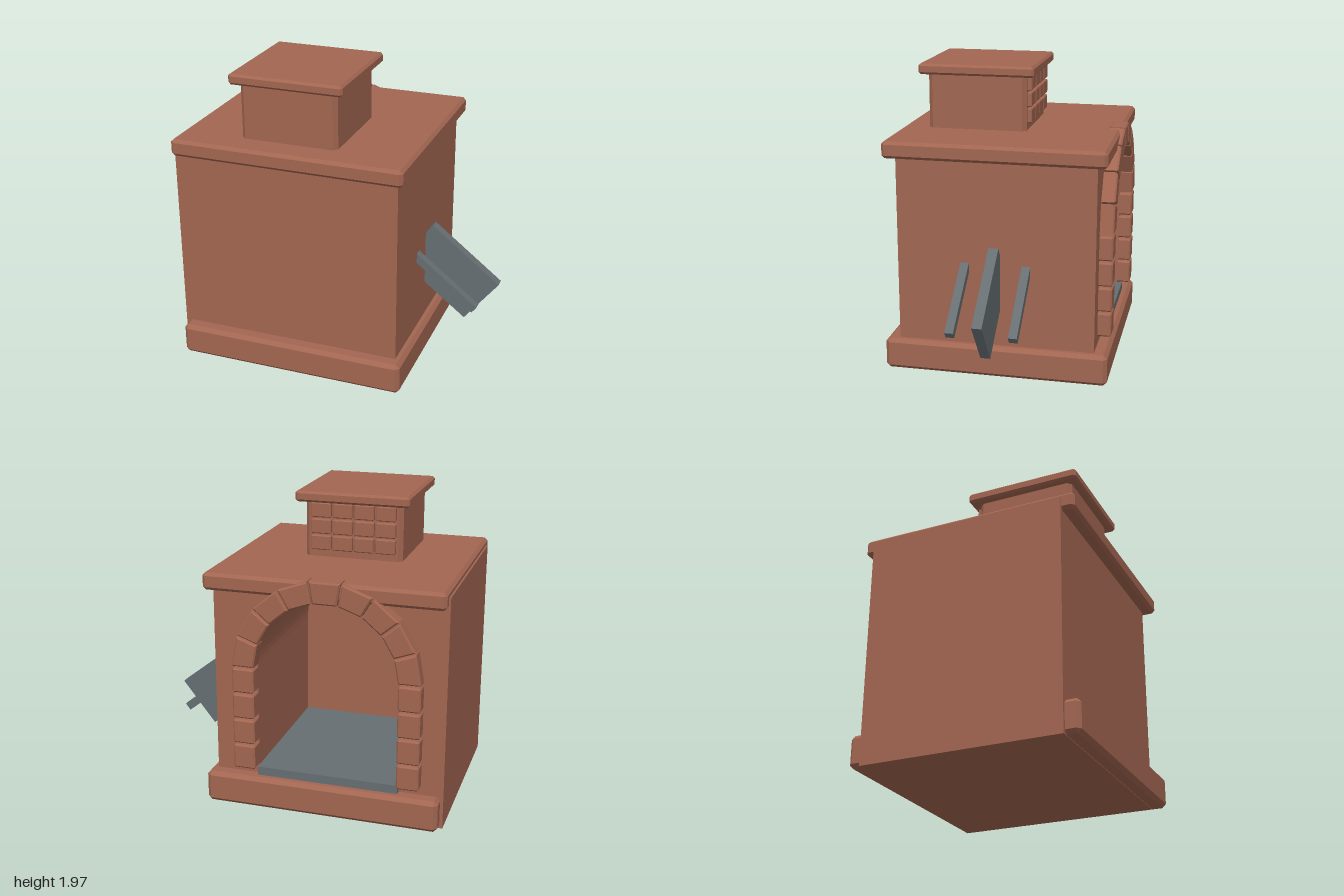
import * as THREE from 'three';
import { ConvexGeometry } from 'three/addons/geometries/ConvexGeometry.js';

const brick = new THREE.MeshStandardMaterial({ color: 0xa26651, flatShading: true });
brick.name = 'brick red';
const steel = new THREE.MeshStandardMaterial({ color: 0x666e72, flatShading: true });
steel.name = 'steel grey';

const CX = -0.255;      // centre line of the oven
const SPRING = 0.955;   // height where the arch starts
const R_IN = 0.46, R_OUT = 0.602;

// Box between two corners with every edge chamfered by c
function chamferBox([x0, y0, z0], [x1, y1, z1], c) {
  const centre = new THREE.Vector3((x0 + x1) / 2, (y0 + y1) / 2, (z0 + z1) / 2);
  const half = new THREE.Vector3((x1 - x0) / 2, (y1 - y0) / 2, (z1 - z0) / 2);
  const points = [];
  for (const sx of [-1, 1]) for (const sy of [-1, 1]) for (const sz of [-1, 1]) {
    for (const axis of ['x', 'y', 'z']) {
      const p = half.clone().subScalar(c);
      p[axis] += c;
      points.push(p.multiply(new THREE.Vector3(sx, sy, sz)).add(centre));
    }
  }
  return new ConvexGeometry(points);
}

function plainBox([x0, y0, z0], [x1, y1, z1]) {
  return new THREE.BoxGeometry(x1 - x0, y1 - y0, z1 - z0)
    .translate((x0 + x1) / 2, (y0 + y1) / 2, (z0 + z1) / 2);
}

// One wedge of the arch, centred on angle a, with chamfered edges
function wedge(a, halfAngle, gap) {
  const bevel = 0.01;
  const h = halfAngle - gap;
  const corner = (r, t) => new THREE.Vector2(CX + r * Math.cos(t), SPRING + r * Math.sin(t));
  const shape = new THREE.Shape([
    corner(R_IN, a - h), corner(R_OUT, a - h), corner(R_OUT, a + h), corner(R_IN, a + h),
  ]);
  const geometry = new THREE.ExtrudeGeometry(shape, {
    depth: 0.09, bevelEnabled: true, bevelSegments: 1,
    bevelSize: bevel, bevelOffset: -bevel, bevelThickness: bevel,
  });
  return geometry.translate(0, 0, -0.725);
}

export function createModel() {
  const model = new THREE.Group();
  model.name = 'brickOven';
  const add = (name, geometry, material = brick, parent = model) => {
    const mesh = new THREE.Mesh(geometry, material);
    mesh.name = name;
    parent.add(mesh);
    return mesh;
  };
  const addGroup = (name) => {
    const group = new THREE.Group();
    group.name = name;
    model.add(group);
    return group;
  };

  // Body with a vaulted chamber open at the back
  const wall = new THREE.Shape();
  wall.moveTo(-1, 0);
  wall.lineTo(0.49, 0);
  wall.lineTo(0.49, 1.5);
  wall.lineTo(-1, 1.5);
  wall.closePath();
  const opening = new THREE.Path();
  opening.moveTo(CX - R_IN, 0.21);
  opening.lineTo(CX + R_IN, 0.21);
  opening.lineTo(CX + R_IN, SPRING);
  opening.absarc(CX, SPRING, R_IN, 0, Math.PI, false);
  opening.closePath();
  wall.holes.push(opening);
  add('chamberWalls', new THREE.ExtrudeGeometry(wall, { depth: 1.01, bevelEnabled: false, curveSegments: 18 })
    .translate(0, 0, -0.645));
  add('frontWall', plainBox([-1, 0, 0.365], [0.49, 1.5, 0.645]));

  // Base and top slab
  add('base', chamferBox([-0.98, 0.004, -0.735], [0.54, 0.212, 0.735], 0.025));
  add('topSlab', chamferBox([-0.988, 1.43, -0.71], [0.54, 1.541, 0.725], 0.02));

  // Chamber floor
  add('chamberFloor', plainBox([CX - R_IN, 0.2, -0.68], [CX + R_IN, 0.268, 0.37]), steel);

  // Chimney with its cap and a panel of bricks on the back
  add('chimney', chamferBox([-0.578, 1.5, -0.11], [0.062, 1.93, 0.545], 0.027));
  add('chimneyCap', chamferBox([-0.63, 1.9, -0.168], [0.115, 1.97, 0.597], 0.015));
  const panel = addGroup('chimneyBricks');
  for (let row = 0; row < 3; row++) {
    for (let col = 0; col < 4; col++) {
      const x = -0.538 + col * 0.141, y = 1.59 + row * 0.106;
      add('chimneyBrick', chamferBox([x, y, -0.14], [x + 0.13, y + 0.094, -0.1], 0.006), brick, panel);
    }
  }

  // Arch surround: nine wedges on two piers of four blocks
  const arch = addGroup('archSurround');
  const step = Math.PI / 9;
  for (let i = 0; i < 9; i++) {
    add('archWedge', wedge((i + 0.5) * step, step / 2, 0.009), brick, arch);
  }
  for (const side of [-1, 1]) {
    const xs = [CX + side * R_IN, CX + side * R_OUT].sort((a, b) => a - b);
    for (let i = 0; i < 4; i++) {
      const y = 0.27 + i * 0.172;
      add('pierBlock', chamferBox([xs[0], y, -0.733], [xs[1], y + 0.16, -0.635], 0.01), brick, arch);
    }
  }

  // Sloping metal chute on the left side: a deep plate between two bars
  const chute = addGroup('sideChute');
  const addBar = (name, height, thickness, y, z) => {
    const bar = add(name, new THREE.BoxGeometry(0.584, height, thickness), steel, chute);
    bar.position.set(0.655, y, z);
    bar.rotation.z = -0.664;
  };
  addBar('chutePlate', 0.366, 0.064, 0.5625, 0);
  for (const z of [-0.2, 0.2]) addBar('chuteBar', 0.052, 0.055, 0.6, z);

  return model;
}
